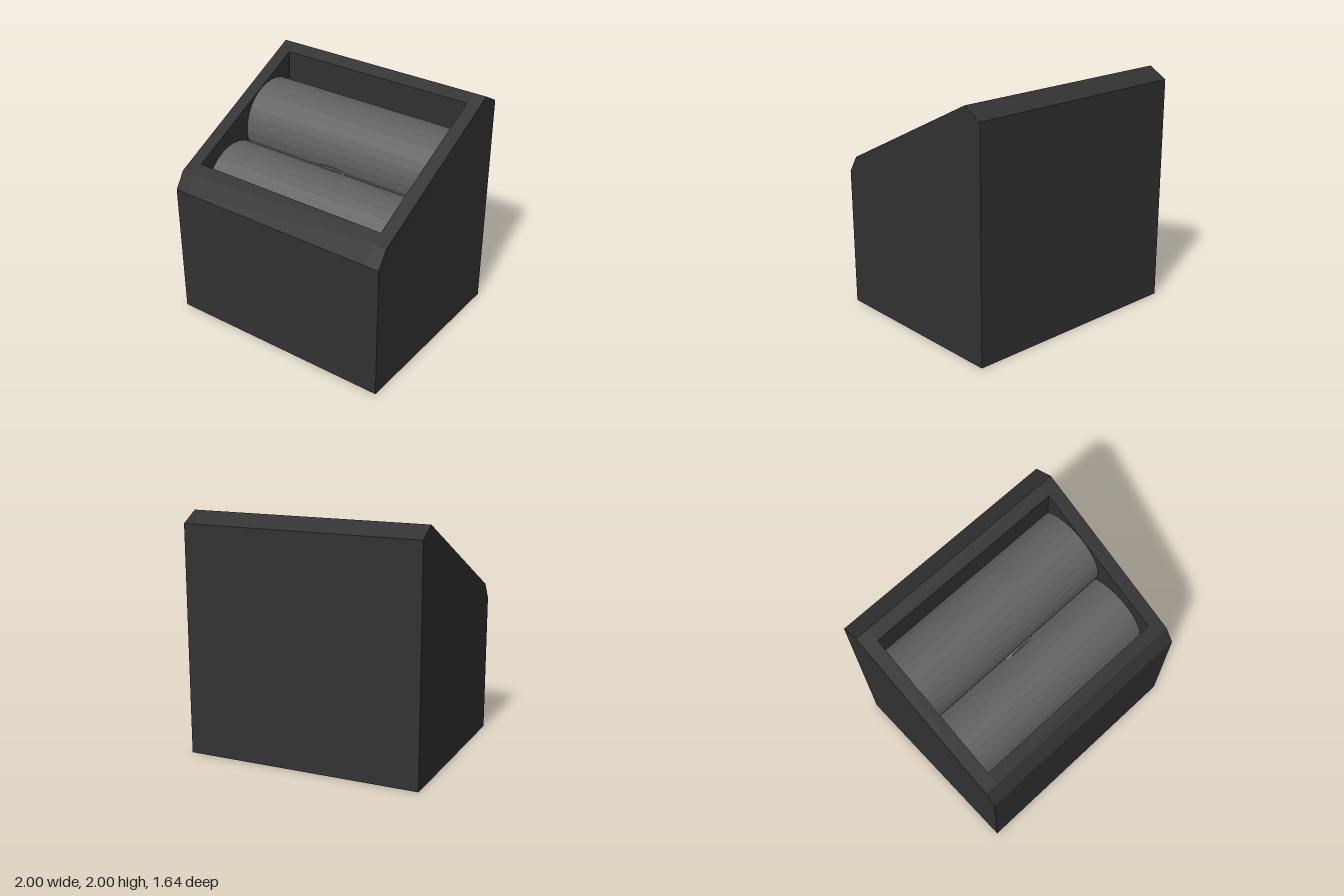
import * as THREE from 'three';

export function createModel() {
  const model = new THREE.Group();
  const casing = new THREE.MeshStandardMaterial({ name: 'charcoal casing', color: 0x323232, flatShading: true });
  const grey = new THREE.MeshStandardMaterial({ name: 'roller grey', color: 0x606060, flatShading: true });

  const add = (name, geometry, material) => {
    const mesh = new THREE.Mesh(geometry, material);
    mesh.name = name;
    model.add(mesh);
    return mesh;
  };

  // Extrude a [z, y] side profile across x
  const slab = (name, profile, x0, x1) => {
    const shape = new THREE.Shape(profile.map(([z, y]) => new THREE.Vector2(-z, y)));
    const geometry = new THREE.ExtrudeGeometry(shape, { depth: x1 - x0, bevelEnabled: false });
    geometry.rotateY(Math.PI / 2).translate(x0, 0, 0);
    add(name, geometry, casing);
  };

  const front = [[0.82, 0], [0.82, 1.17], [0.73, 1.31]];
  const back = [[-0.66, 2], [-0.82, 1.91], [-0.82, 0]];
  const well = [[0.63, 1.36], [0.63, 0.6], [-0.56, 0.6], [-0.56, 1.95]];
  const inner = 0.885;

  // Sloped casing: two side walls around a hollow centre
  slab('rightWall', [...front, ...back], -1, -inner);
  slab('leftWall', [...front, ...back], inner, 1);
  slab('hollowBody', [...front, ...well, ...back], -inner, inner);

  // Two stepped rollers across the opening
  const radius = 0.355;
  for (const [name, y, z] of [['rearRoller', 1.425, -0.315], ['frontRoller', 1.03, 0.225]]) {
    const geometry = new THREE.CylinderGeometry(radius, radius, 2 * inner + 0.01, 32);
    geometry.rotateZ(Math.PI / 2);
    add(name, geometry, grey).position.set(0, y, z);
  }

  // Disc peeking out between the rollers
  const disc = new THREE.CylinderGeometry(0.36, 0.36, 0.1, 32).rotateX(Math.PI / 2);
  add('middleDisc', disc, grey).position.set(0, 1.0, 0.0);

  return model;
}
